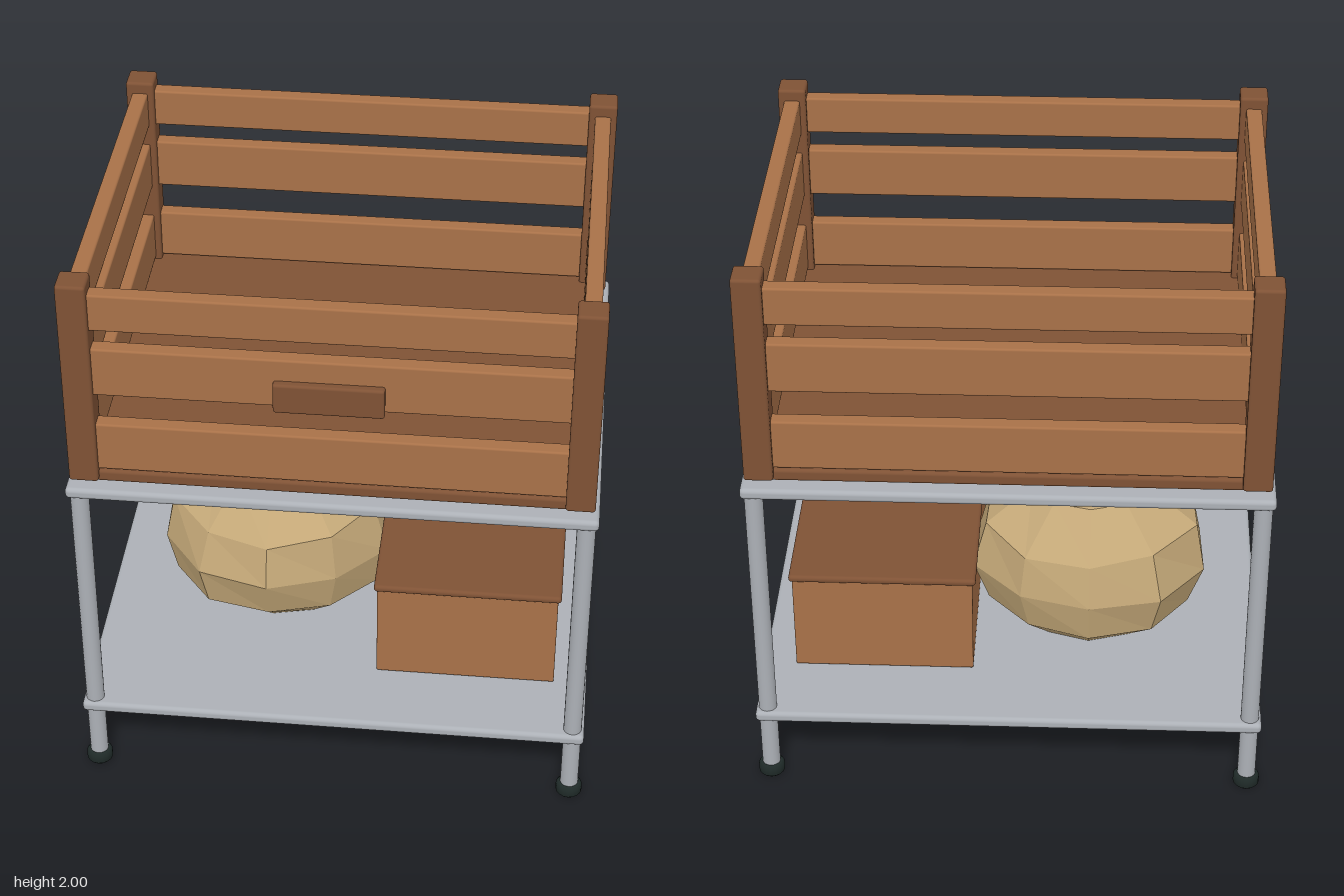
import * as THREE from 'three';
import { RoundedBoxGeometry } from 'three/addons/geometries/RoundedBoxGeometry.js';

const material = (name, color, flatShading = false) => {
  const m = new THREE.MeshStandardMaterial({ color, flatShading });
  m.name = name;
  return m;
};

export function createModel() {
  const wood = material('light wood', 0xa87148);
  const darkWood = material('dark wood', 0x7f5235);
  const metal = material('grey metal', 0xacb0b6);
  const rodMetal = material('dark metal', 0x83878c);
  const rubber = material('black rubber', 0x1f2a28);
  const cloth = material('sackcloth', 0xc4a878, true);

  const model = new THREE.Group();
  model.name = 'shelfWithCrate';

  const group = (name) => {
    const g = new THREE.Group();
    g.name = name;
    model.add(g);
    return g;
  };
  const add = (parent, name, geometry, mat, x, y, z) => {
    const mesh = new THREE.Mesh(geometry, mat);
    mesh.name = name;
    mesh.position.set(x, y, z);
    parent.add(mesh);
    return mesh;
  };
  const rounded = (w, h, d, r) => new RoundedBoxGeometry(w, h, d, 3, r);
  const corners = [[-1, -1], [1, -1], [-1, 1], [1, 1]];

  // Metal stand: legs, feet, two shelves and the rods under them
  const stand = group('stand');
  const legGeo = new THREE.CylinderGeometry(0.031, 0.031, 1.15, 20);
  const footGeo = new THREE.LatheGeometry([
    [0, 0], [0.036, 0], [0.045, 0.01], [0.045, 0.036], [0.036, 0.048], [0, 0.048],
  ].map(([r, y]) => new THREE.Vector2(r, y)), 16);
  for (const [sx, sz] of corners) {
    add(stand, 'leg', legGeo, metal, sx * 0.825, 0.615, sz * 0.667);
    add(stand, 'foot', footGeo, rubber, sx * 0.825, 0, sz * 0.667);
  }
  const shelfGeo = rounded(1.73, 0.04, 1.42, 0.015);
  const rodGeo = new THREE.CylinderGeometry(0.011, 0.011, 1.58, 10).rotateZ(Math.PI / 2);
  for (const y of [0.272, 1.206]) {
    add(stand, 'shelf', shelfGeo, metal, 0, y, 0);
    for (const z of [-0.445, 0, 0.445]) add(stand, 'rod', rodGeo, rodMetal, 0, y - 0.033, z);
  }

  // Open slatted crate on the upper shelf
  const crate = group('crate');
  add(crate, 'crateFloor', rounded(1.65, 0.045, 1.34, 0.012), darkWood, 0, 1.26, 0);
  const postGeo = rounded(0.096, 0.75, 0.096, 0.01);
  for (const [sx, sz] of corners) add(crate, 'post', postGeo, darkWood, sx * 0.802, 1.625, sz * 0.644);
  for (const [low, high] of [[1.29, 1.467], [1.582, 1.758], [1.828, 1.96]]) {
    const y = (low + high) / 2;
    const longGeo = rounded(1.53, high - low, 0.054, 0.007);
    const sideGeo = rounded(0.054, high - low, 1.22, 0.007);
    for (const s of [-1, 1]) {
      add(crate, 'longSlat', longGeo, wood, 0, y, s * 0.644);
      add(crate, 'sideSlat', sideGeo, wood, s * 0.802, y, 0);
    }
  }
  add(crate, 'handlePlate', rounded(0.353, 0.108, 0.032, 0.009), darkWood, -0.003, 1.628, 0.682);

  // Lidded box on the lower shelf
  const box = group('storageBox');
  add(box, 'boxBody', rounded(0.62, 0.37, 0.885, 0.006), wood, 0.441, 0.48, 0);
  add(box, 'boxLid', rounded(0.642, 0.026, 0.905, 0.012), darkWood, 0.441, 0.671, 0);

  // Faceted sack with a pointed knot
  const sack = group('sack');
  const lathe = (points, sides) =>
    new THREE.LatheGeometry(points.map(([r, y]) => new THREE.Vector2(r, y)), sides);
  const bodyGeo = lathe([
    [0, 0], [0.245, 0], [0.37, 0.1], [0.415, 0.25], [0.375, 0.415], [0.215, 0.55], [0, 0.56],
  ], 10);
  // Uneven bulges, repeating around the ring so the seam stays closed
  const p = bodyGeo.attributes.position;
  for (let i = 0; i < p.count; i++) {
    const x = p.getX(i), y = p.getY(i), z = p.getZ(i);
    const a = Math.atan2(z, x);
    const k = 1 + 0.02 * Math.cos(2 * a) + 0.025 * Math.sin(3 * a + y * 9) * Math.min(1, Math.hypot(x, z) * 3);
    const lift = y > 0.3 && y < 0.5 ? 0.02 * Math.sin(2 * a + 1) : 0;
    p.setXYZ(i, x * k, y + lift, z * k);
  }
  bodyGeo.computeVertexNormals();
  add(sack, 'sackBody', bodyGeo, cloth, 0, 0, 0);
  add(sack, 'sackKnot', lathe([
    [0.085, 0], [0.06, 0.04], [0.03, 0.095], [0.012, 0.114], [0, 0.117],
  ], 8), cloth, 0, 0.535, 0);
  sack.position.set(-0.268, 0.292, -0.045);
  sack.scale.z = 0.92;

  return model;
}
